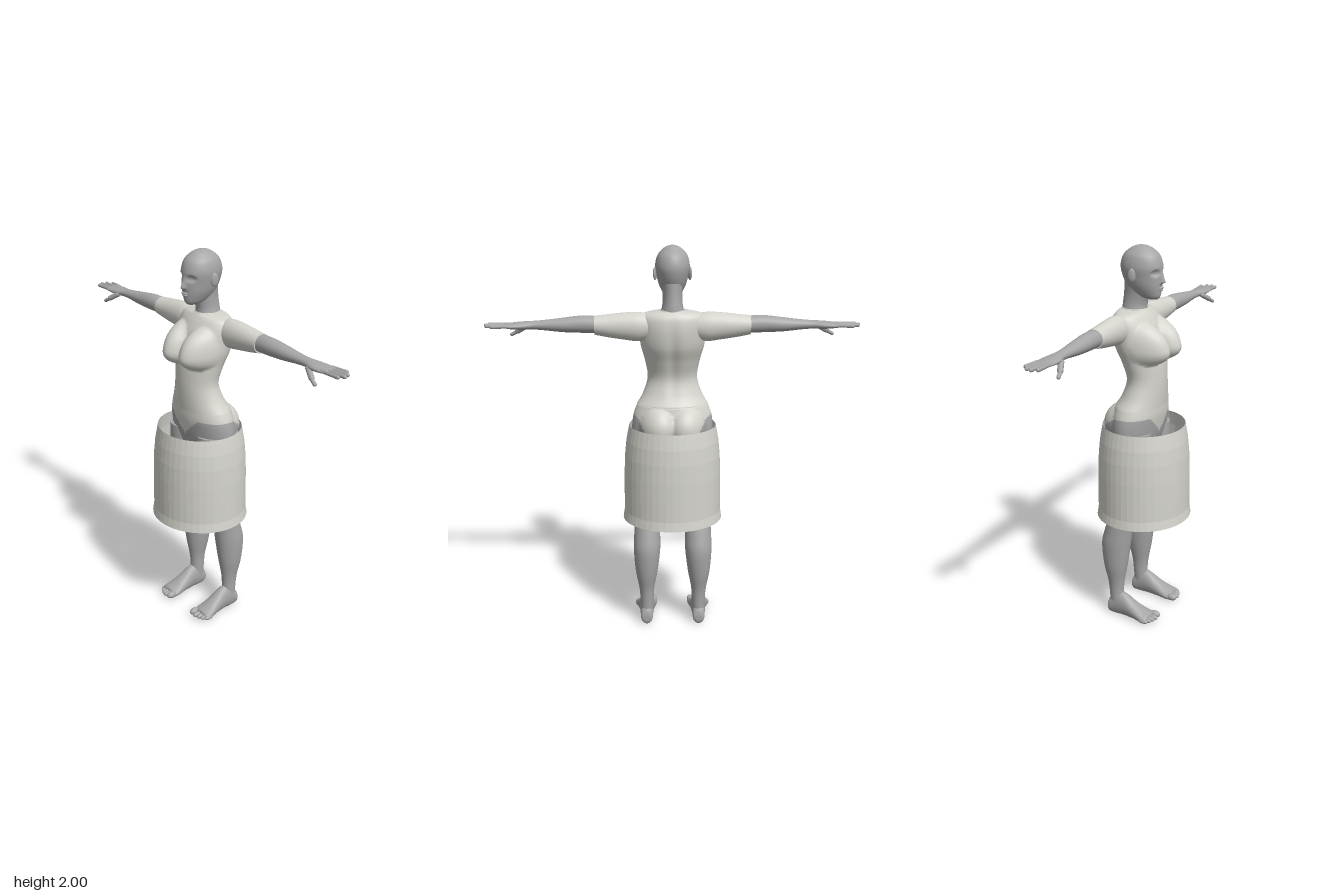
import * as THREE from 'three';

const skin = new THREE.MeshStandardMaterial({ color: 0xa6a6a6 });
skin.name = 'skinGrey';
const cloth = new THREE.MeshStandardMaterial({ color: 0xd4d3cc });
cloth.name = 'clothGrey';
const skirtCloth = new THREE.MeshStandardMaterial({ color: 0xd4d3cc, side: THREE.DoubleSide });
skirtCloth.name = 'skirtGrey';

// Smooth row interpolation (Catmull-Rom on every column)
function sample(rows, f) {
  const n = rows.length - 1, i = Math.min(Math.floor(f * n), n - 1), t = f * n - i;
  const r = (k) => rows[Math.max(0, Math.min(n, k))];
  return rows[0].map((_, c) => {
    const a = r(i - 1)[c], b = r(i)[c], d = r(i + 1)[c], e = r(i + 2)[c];
    return b + 0.5 * t * (d - a + t * (2 * a - 5 * b + 4 * d - e + t * (3 * (b - d) + e - a)));
  });
}

// Closed loft along an axis; row = [t, u0, u1, v0, v1]; u, v are the other two axes in xyz order
function loft(rows, { axis = 'y', segs = 32, steps = 32, side = 1, rule, pick } = {}) {
  const rings = [];
  for (let j = 0; j <= steps; j++) rings.push(sample(rows, j / steps));
  const shut = ([t, a, b, c, d]) => [t, (a + b) / 2, (a + b) / 2, (c + d) / 2, (c + d) / 2];
  const last = rings[steps];
  const all = [shut(rings[0]), rings[0], ...rings, last, shut(last)];
  const pos = [], groups = [[], []];
  const p = new THREE.Vector3();
  for (const [t, u0, u1, v0, v1] of all) {
    for (let i = 0; i < segs; i++) {
      const a = (i / segs) * Math.PI * 2;
      const u = (u0 + u1) / 2 + ((u1 - u0) / 2) * Math.cos(a);
      const v = (v0 + v1) / 2 + ((v1 - v0) / 2) * Math.sin(a);
      if (axis === 'x') p.set(t, u, v);
      else if (axis === 'y') p.set(u, t, v);
      else p.set(u, v, t);
      if (rule) rule(p);
      pos.push(p.x * side, p.y, p.z);
    }
  }
  const flip = (axis === 'y') !== (side < 0);
  for (let j = 0; j < all.length - 1; j++) {
    for (let i = 0; i < segs; i++) {
      const a = j * segs + i, b = j * segs + ((i + 1) % segs), c = a + segs, d = b + segs;
      const g = pick ? pick(pos[a * 3], pos[a * 3 + 1], pos[a * 3 + 2]) : 0;
      groups[g].push(...(flip ? [a, c, b, b, c, d] : [a, b, c, b, d, c]));
    }
  }
  const geo = new THREE.BufferGeometry();
  geo.setAttribute('position', new THREE.Float32BufferAttribute(pos, 3));
  geo.setIndex([...groups[0], ...groups[1]]);
  if (pick) {
    geo.addGroup(0, groups[0].length, 0);
    geo.addGroup(groups[0].length, groups[1].length, 1);
  }
  geo.computeVertexNormals();
  return geo;
}

// Rounded bump falling to zero at the edge of an ellipse
const dome = (dx, dy, power) => Math.pow(Math.max(0, 1 - dx * dx - dy * dy), power);

export function createModel() {
  const model = new THREE.Group();
  const add = (name, geo, mat, parent = model) => {
    const m = new THREE.Mesh(geo, mat);
    m.name = name;
    parent.add(m);
    return m;
  };
  const ball = (name, x, y, z, rx, ry, rz, parent) => {
    const m = add(name, new THREE.SphereGeometry(1, 20, 14), skin, parent);
    m.position.set(x, y, z);
    m.scale.set(rx, ry, rz);
    return m;
  };
  const finger = (name, from, to, r, parent) => {
    const a = new THREE.Vector3(...from), b = new THREE.Vector3(...to), d = b.clone().sub(a);
    const m = add(name, new THREE.CapsuleGeometry(r, d.length() - r, 5, 10), skin, parent);
    m.position.copy(a).add(b).multiplyScalar(0.5);
    m.quaternion.setFromUnitVectors(new THREE.Vector3(0, 1, 0), d.normalize());
  };
  // Symmetric row: height, half width, back, front
  const sym = (rows) => rows.map(([y, w, b, f]) => [y, -w, w, b, f]);

  // Head with eye sockets and nose, neck, ears and lips
  add('head', loft(sym([
    [1.737, 0.022, 0.02, 0.075], [1.755, 0.043, -0.05, 0.089], [1.8, 0.066, -0.09, 0.095],
    [1.85, 0.079, -0.114, 0.096], [1.9, 0.086, -0.122, 0.098], [1.95, 0.074, -0.106, 0.082],
    [1.98, 0.048, -0.073, 0.05], [1.994, 0.026, -0.045, 0.022], [2, 0.002, -0.013, -0.009],
  ]), { segs: 96, steps: 64, rule: (p) => {
    if (p.z < 0.03) return;
    const x = Math.abs(p.x);
    p.z -= 0.013 * dome((x - 0.036) / 0.026, (p.y - 1.872) / 0.02, 1);
    const run = (1.885 - p.y) / 0.06;
    if (run > 0 && run < 1.2) p.z += 0.024 * Math.min(run, (1.2 - run) * 5) * Math.exp(-((x / 0.012) ** 2));
  } }), skin);
  add('neck', loft(sym([
    [1.63, 0.075, -0.12, 0.02], [1.7, 0.053, -0.115, 0.014], [1.76, 0.049, -0.108, 0.032], [1.82, 0.055, -0.105, 0.05],
  ])), skin);
  ball('upperLip', 0, 1.796, 0.093, 0.022, 0.006, 0.011);
  ball('lowerLip', 0, 1.786, 0.091, 0.018, 0.007, 0.011);

  // Shirt body with bust
  add('shirtBody', loft(sym([
    [1.192, 0.184, -0.13, 0.109], [1.25, 0.15, -0.097, 0.113], [1.33, 0.127, -0.078, 0.115],
    [1.42, 0.14, -0.105, 0.11], [1.5, 0.16, -0.138, 0.097], [1.58, 0.168, -0.15, 0.08],
    [1.64, 0.166, -0.145, 0.05], [1.67, 0.14, -0.13, 0.03], [1.683, 0.066, -0.117, 0.02],
  ]), { segs: 96, steps: 64, rule: (p) => {
    if (p.z > -0.01) {
      const dy = p.y - 1.495;
      p.z += 0.088 * dome((Math.abs(p.x) - 0.08) / 0.084, dy / (dy > 0 ? 0.14 : 0.075), 0.75);
    } else p.z += 0.012 * Math.exp(-((p.x / 0.03) ** 2)) * Math.sin(Math.PI * (p.y - 1.19) / 0.49);
  } }), cloth);
  const collar = add('collar', new THREE.TorusGeometry(0.062, 0.005, 8, 40), cloth);
  collar.rotation.x = Math.PI / 2;
  collar.position.set(0, 1.682, -0.049);

  // Hips: briefs and bare skin split along the leg openings
  add('hipsAndBriefs', loft(sym([
    [0.98, 0.2, -0.13, 0.07], [1.04, 0.208, -0.145, 0.088], [1.1, 0.207, -0.145, 0.099],
    [1.15, 0.198, -0.138, 0.106], [1.2, 0.179, -0.127, 0.107],
  ]), { segs: 96, steps: 44,
    rule: (p) => {
      if (p.z < -0.02) p.z -= 0.052 * dome((Math.abs(p.x) - 0.08) / 0.09, (p.y - 1.09) / 0.1, 0.7);
    },
    pick: (x, y, z) => {
      const w = Math.abs(x);
      const edge = z > -0.04
        ? 1.05 + 0.095 * Math.min(1, w / 0.1)
        : 1.04 + 0.1 * THREE.MathUtils.smoothstep(w, 0.11, 0.19);
      return y > edge ? 1 : 0;
    } }), [skin, cloth]);

  // Open faceted skirt
  const profile = [[0.255, 0.572], [0.248, 0.62], [0.248, 0.72], [0.247, 0.82], [0.243, 0.92], [0.235, 1], [0.224, 1.06], [0.22, 1.08]];
  const skirt = new THREE.LatheGeometry(profile.map(([r, y]) => new THREE.Vector2(r, y)), 44).toNonIndexed();
  skirt.scale(1.02, 1, 0.965);
  skirt.computeVertexNormals();
  add('skirt', skirt, skirtCloth);

  for (const s of [1, -1]) {
    const tag = s > 0 ? 'left' : 'right';
    const arm = new THREE.Group(), leg = new THREE.Group();
    arm.name = tag + 'Arm';
    leg.name = tag + 'Leg';
    model.add(arm, leg);

    const ear = ball(tag + 'Ear', s * 0.086, 1.862, -0.022, 0.009, 0.034, 0.02);
    ear.rotation.y = s * -0.35;

    // Sleeve, forearm and palm
    add('sleeve', loft([
      [0.11, 1.545, 1.665, -0.115, -0.01], [0.17, 1.53, 1.676, -0.122, -0.005], [0.24, 1.538, 1.674, -0.12, -0.007],
      [0.32, 1.55, 1.665, -0.116, -0.01], [0.388, 1.563, 1.658, -0.112, -0.012],
    ], { axis: 'x', side: s }), cloth, arm);
    add('forearm', loft([
      [0.36, 1.57, 1.654, -0.104, -0.018], [0.45, 1.572, 1.658, -0.1, -0.014], [0.55, 1.576, 1.647, -0.096, -0.018],
      [0.64, 1.585, 1.636, -0.086, -0.024], [0.7, 1.589, 1.631, -0.084, -0.024], [0.75, 1.588, 1.628, -0.096, -0.012],
      [0.8, 1.592, 1.623, -0.104, -0.01], [0.835, 1.598, 1.619, -0.101, -0.014], [0.845, 1.603, 1.613, -0.09, -0.025],
    ], { axis: 'x', side: s, steps: 48 }), skin, arm);

    // Fingers and thumb
    [[-0.092, -0.102, 0.9], [-0.069, -0.077, 0.928], [-0.046, -0.051, 0.935], [-0.024, -0.024, 0.92]].forEach(([z0, z1, x], i) =>
      finger('finger' + (i + 1), [s * 0.815, 1.61, z0], [s * x, 1.609, z1], 0.0095, arm));
    finger('thumb', [s * 0.73, 1.602, -0.026], [s * 0.785, 1.568, 0.002], 0.014, arm);
    finger('thumbTip', [s * 0.775, 1.572, 0], [s * 0.815, 1.55, 0.01], 0.0095, arm);

    // Leg and foot
    add('legShape', loft([
      [0.05, 0.105, 0.172, -0.13, -0.05], [0.13, 0.102, 0.173, -0.135, -0.055], [0.2, 0.098, 0.179, -0.143, -0.05],
      [0.3, 0.08, 0.197, -0.165, -0.032], [0.42, 0.066, 0.206, -0.175, -0.015], [0.5, 0.066, 0.203, -0.157, -0.005],
      [0.57, 0.066, 0.2, -0.137, 0.005], [0.64, 0.058, 0.198, -0.133, 0.02], [0.8, 0.022, 0.205, -0.15, 0.065],
      [0.95, 0.005, 0.208, -0.163, 0.088], [1.06, 0.005, 0.203, -0.145, 0.088],
    ], { side: s, steps: 48 }), skin, leg);
    add('foot', loft([
      [-0.142, 0.12, 0.158, 0.02, 0.05], [-0.132, 0.108, 0.17, -0.002, 0.085], [-0.09, 0.104, 0.174, -0.01, 0.13],
      [-0.04, 0.1, 0.178, -0.008, 0.125], [0.02, 0.094, 0.187, -0.008, 0.085], [0.075, 0.085, 0.199, -0.008, 0.054],
      [0.105, 0.086, 0.199, -0.004, 0.042], [0.112, 0.1, 0.185, 0.008, 0.03],
    ], { axis: 'z', side: s, rule: (p) => { p.y = Math.max(0, p.y); } }), skin, leg);
    [[0.102, 0.12, 0.019], [0.13, 0.121, 0.014], [0.153, 0.114, 0.013], [0.173, 0.104, 0.012], [0.191, 0.092, 0.012]].forEach(([x, z, r], i) =>
      ball('toe' + (i + 1), s * x, r + 0.004, z, r, r, 0.03, leg));
  }
  return model;
}
